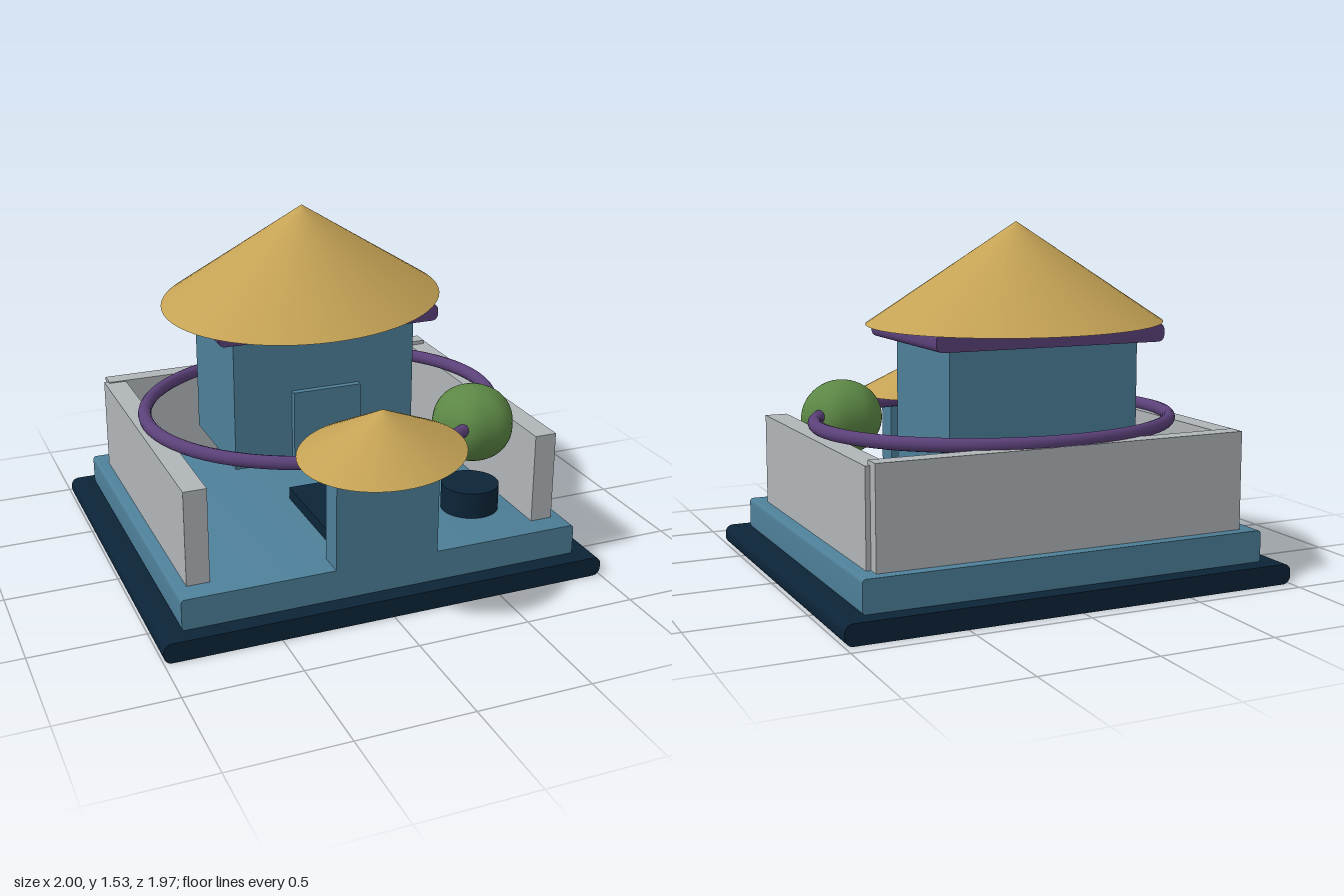
import * as THREE from 'three';
import { toCreasedNormals } from 'three/addons/utils/BufferGeometryUtils.js';

const mat = (name, color) => {
  const m = new THREE.MeshStandardMaterial({ color });
  m.name = name;
  return m;
};

export function createModel() {
  const group = new THREE.Group();
  const navy = mat('navy', 0x0c2438);
  const blue = mat('slate blue', 0x4d7f98);
  const grey = mat('stone grey', 0xb0b5b8);
  const purple = mat('purple', 0x5b4179);
  const gold = mat('straw gold', 0xc4a255);
  const green = mat('leaf green', 0x5c8745);

  const add = (name, geometry, material, x = 0, y = 0, z = 0) => {
    const mesh = new THREE.Mesh(geometry, material);
    mesh.name = name;
    mesh.position.set(x, y, z);
    group.add(mesh);
    return mesh;
  };

  // Box given by its limits on each axis
  const box = (name, material, [x0, x1], [y0, y1], [z0, z1]) =>
    add(name, new THREE.BoxGeometry(x1 - x0, y1 - y0, z1 - z0), material,
      (x0 + x1) / 2, (y0 + y1) / 2, (z0 + z1) / 2);

  // Slab with rounded long edges, extruded from back to front
  const slab = (name, material, w, [y0, y1], [z0, z1], r) => {
    const s = new THREE.Shape();
    s.moveTo(-w + r, y0);
    s.absarc(w - r, y0 + r, r, -Math.PI / 2, 0);
    s.absarc(w - r, y1 - r, r, 0, Math.PI / 2);
    s.absarc(-w + r, y1 - r, r, Math.PI / 2, Math.PI);
    s.absarc(-w + r, y0 + r, r, Math.PI, Math.PI * 1.5);
    const g = new THREE.ExtrudeGeometry(s, { depth: z1 - z0, bevelEnabled: false, curveSegments: 5 });
    return add(name, toCreasedNormals(g, 0.6), material, 0, 0, z0);
  };

  // Stretched straw cone, turned by an eighth
  const coneRoof = (name, long, short, [y0, y1], z) => {
    const roof = add(name, new THREE.ConeGeometry(1, y1 - y0, 64), gold, 0, (y0 + y1) / 2, z);
    roof.scale.set(long, 1, short);
    roof.rotation.y = Math.PI / 4;
  };

  // Base and courtyard floor
  slab('base', navy, 1, [0, 0.088], [-0.935, 0.755], 0.035);
  slab('courtyardFloor', blue, 0.9, [0.085, 0.225], [-0.855, 0.675], 0.015);

  // Courtyard walls
  box('backWall', grey, [-0.826, 0.826], [0.225, 0.65], [-0.805, -0.725]);
  box('rightWall', grey, [-0.846, -0.746], [0.225, 0.645], [-0.75, 0.57]);
  box('leftWall', grey, [0.746, 0.846], [0.225, 0.632], [-0.75, 0.57]);

  // Main hall with door, eave and roof
  box('hall', blue, [-0.43, 0.43], [0.42, 1.035], [-0.595, -0.03]);
  box('door', blue, [-0.16, 0.16], [0.42, 0.76], [-0.03, 0]);
  slab('eave', purple, 0.517, [1.033, 1.11], [-0.67, 0.045], 0.028);
  coneRoof('hallRoof', 0.73, 0.615, [1.11, 1.53], -0.315);

  // Gate and path to the hall
  box('gate', blue, [-0.232, 0.232], [0.225, 0.7], [0.56, 0.676]);
  coneRoof('gateRoof', 0.408, 0.346, [0.7, 0.885], 0.605);
  box('path', navy, [-0.17, 0.17], [0.225, 0.28], [-0.05, 0.52]);

  // Ring around the courtyard
  const ring = add('ring', new THREE.TorusGeometry(0.8, 0.03, 12, 72), purple, 0, 0.665, -0.1);
  ring.rotation.x = Math.PI / 2;
  ring.scale.set(1, 0.85, 1);

  // Potted tree with a softly lobed crown
  add('pot', new THREE.CylinderGeometry(0.13, 0.13, 0.12, 32), navy, 0.56, 0.285, 0.33);
  const crown = new THREE.SphereGeometry(1, 48, 24);
  const p = crown.attributes.position;
  for (let i = 0; i < p.count; i++) {
    const x = p.getX(i), z = p.getZ(i);
    const k = 1 + 0.025 * Math.cos(6 * Math.atan2(z, x)) * Math.hypot(x, z);
    p.setX(i, x * k);
    p.setZ(i, z * k);
  }
  crown.scale(0.183, 0.172, 0.183);
  crown.computeVertexNormals();
  add('treeCrown', crown, green, 0.56, 0.638, 0.33);

  return group;
}
